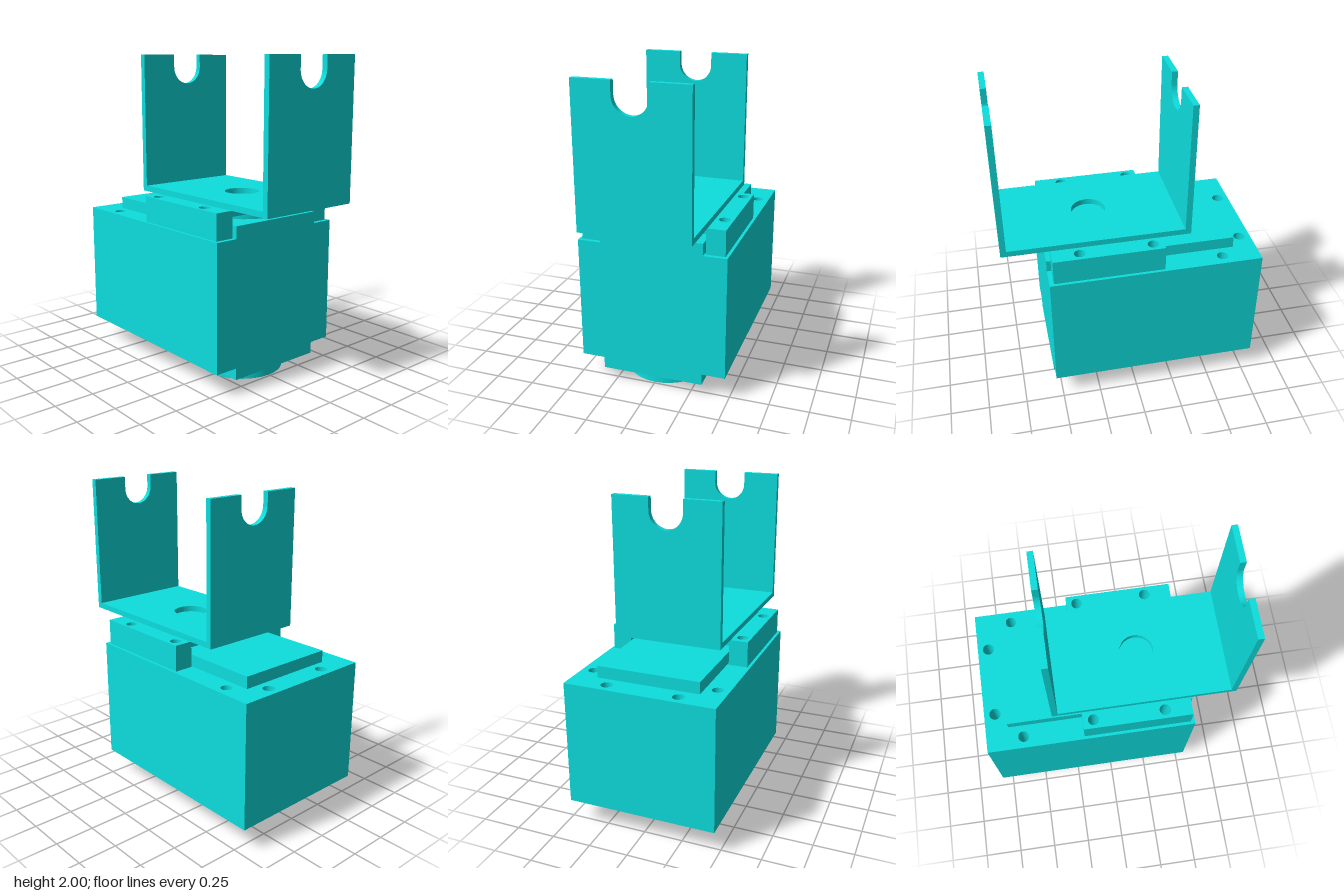
import * as THREE from 'three';
import { toCreasedNormals } from 'three/addons/utils/BufferGeometryUtils.js';

const HUB_X = 0.22;
const HOLE_R = 0.035;

function rect(x0, x1, y0, y1) {
  return new THREE.Shape([[x0, y0], [x1, y0], [x1, y1], [x0, y1]].map(p => new THREE.Vector2(...p)));
}

function addHole(shape, x, y, r) {
  const hole = new THREE.Path();
  hole.absarc(x, y, r, 0, Math.PI * 2, true);
  shape.holes.push(hole);
}

function extrude(shape, depth) {
  return new THREE.ExtrudeGeometry(shape, { depth, bevelEnabled: false, curveSegments: 24 });
}

// Plan outline extruded upwards from y0 to y1
function slab(shape, y0, y1) {
  return toCreasedNormals(extrude(shape, y1 - y0).rotateX(-Math.PI / 2).translate(0, y0, 0), 0.6);
}

export function createModel() {
  const model = new THREE.Group();
  model.name = 'servoWithBracket';
  const material = new THREE.MeshStandardMaterial({ color: 0x0ddddd });
  const add = (name, geometry, parent = model) => {
    const mesh = new THREE.Mesh(geometry, material);
    mesh.name = name;
    parent.add(mesh);
    return mesh;
  };

  // Main housing with screw holes right through
  const body = rect(-0.81, 0.54, -0.477, 0.477);
  for (const s of [-1, 1]) {
    for (const x of [-0.57, -0.114, 0.341]) addHole(body, x, s * 0.403, HOLE_R);
    addHole(body, -0.739, s * 0.228, HOLE_R + 0.002);
  }
  add('housing', slab(body, 0.152, 0.952));

  // Raised covers above and below the housing
  const cover = () => rect(-0.662, 0.54, -0.328, 0.328);
  add('topCover', slab(cover(), 0.952, 1.028));
  add('bottomCover', slab(cover(), 0.078, 0.152));

  // Round hubs: one under the housing, one under the bridge
  for (const [name, y0, y1] of [['bottomHub', 0, 0.078], ['topHub', 1.028, 1.08]]) {
    add(name, new THREE.CylinderGeometry(0.266, 0.266, y1 - y0, 64).translate(HUB_X, (y0 + y1) / 2, 0));
  }

  // Bridge: two drilled rails joined by a thin plate over the hub
  const bridge = new THREE.Group();
  bridge.name = 'bridge';
  model.add(bridge);
  for (const s of [-1, 1]) {
    const rail = rect(-0.182, 0.513, s > 0 ? 0.337 : -0.458, s > 0 ? 0.458 : -0.337);
    for (const x of [-0.114, 0.341]) addHole(rail, x, s * 0.403, HOLE_R);
    add('bridgeRail', slab(rail, 0.952, 1.117), bridge);
  }
  add('bridgePlate', slab(rect(-0.182, 0.513, -0.337, 0.337), 1.08, 1.117), bridge);

  // U bracket: drilled base and two notched arms
  const bracket = new THREE.Group();
  bracket.name = 'bracket';
  model.add(bracket);
  const base = rect(-0.332, 0.773, -0.345, 0.345);
  addHole(base, HUB_X, 0, 0.109);
  add('bracketBase', slab(base, 1.117, 1.154), bracket);

  const arm = new THREE.Shape();
  arm.moveTo(-0.345, 1.117);
  arm.lineTo(0.345, 1.117);
  arm.lineTo(0.345, 2);
  arm.lineTo(0.108, 2);
  arm.lineTo(0.108, 1.92);
  arm.absarc(0, 1.92, 0.108, 0, -Math.PI, true);
  arm.lineTo(-0.108, 2);
  arm.lineTo(-0.345, 2);
  arm.closePath();
  for (const [name, x] of [['rightArm', -0.37], ['leftArm', 0.773]]) {
    add(name, toCreasedNormals(extrude(arm, 0.037).rotateY(Math.PI / 2).translate(x, 0, 0), 0.6), bracket);
  }
  return model;
}
